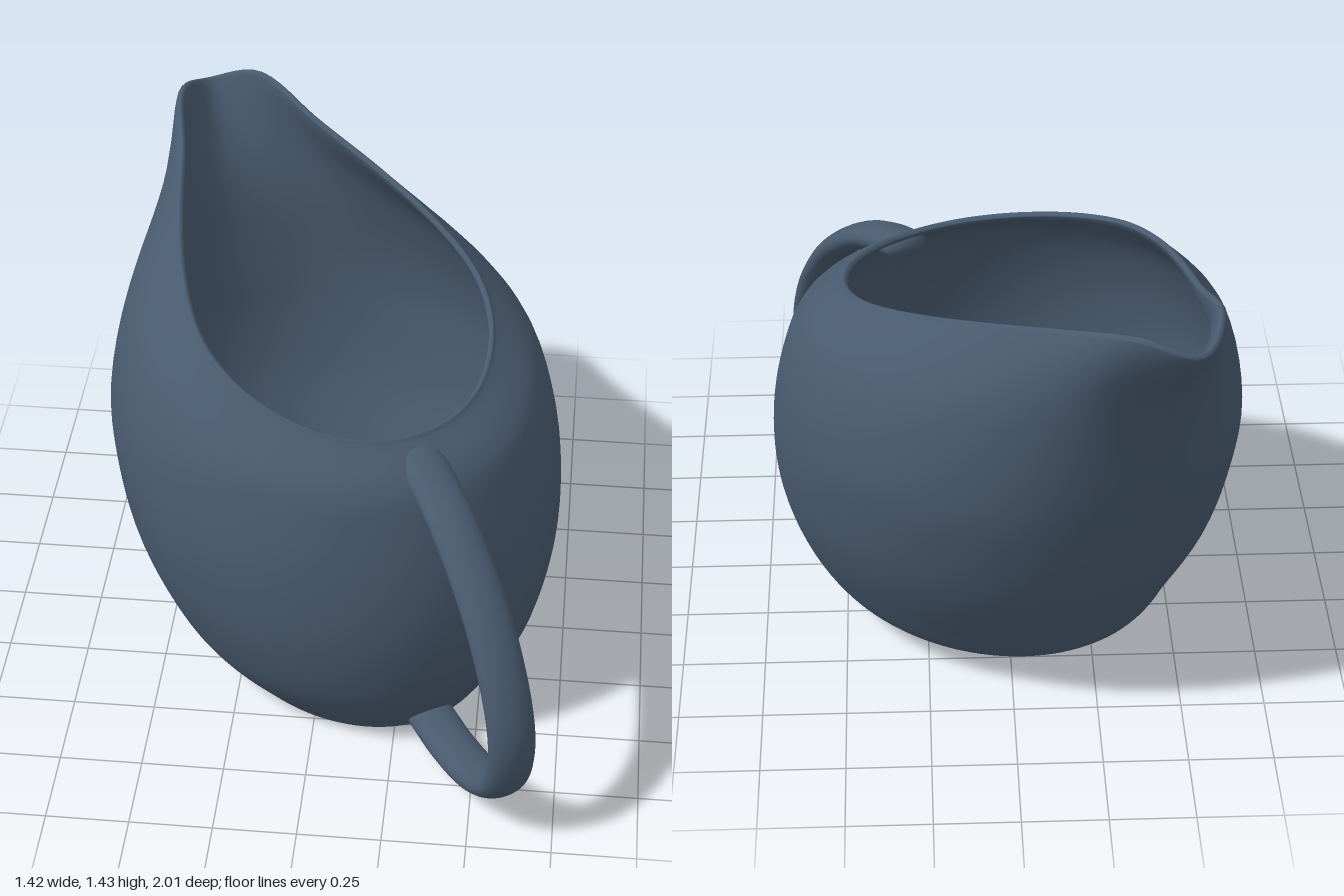
import * as THREE from 'three';

const SEG = 120;
const V = (x, y, z) => new THREE.Vector3(x, y, z);

// Horizontal oval sections: height, half width, half length, centre along the spout-handle axis
const RINGS = [
  [0.1, 0.515, 0.625, 0.01], [0.2, 0.574, 0.675, 0.005], [0.4, 0.648, 0.742, -0.036],
  [0.6, 0.678, 0.765, -0.076], [0.8, 0.672, 0.757, -0.121],
];

// Half of the teardrop rim, from the handle side to the spout tip: [half width, z]
const RIM = [
  [0, 0.44], [0.15, 0.41], [0.28, 0.32], [0.38, 0.18], [0.43, 0.03], [0.435, -0.12],
  [0.395, -0.31], [0.32, -0.52], [0.215, -0.76], [0.125, -0.985], [0, -1.08],
];
const rimPoint = ([x, z], i) => V(x, i === 10 ? 1.38 : 1.135 - 0.29 * z, z);
const rimCurve = new THREE.CatmullRomCurve3([
  ...RIM.map(rimPoint),
  ...RIM.slice(1, 10).reverse().map(([x, z]) => rimPoint([-x, z], 0)),
], true, 'catmullrom', 0.5);

// Skin a closed surface strip; column(phi, t) returns the points of one profile
function loft(column) {
  const positions = [], index = [];
  let rows = 0;
  for (let i = 0; i < SEG; i++) {
    const points = column((i / SEG) * Math.PI * 2, i / SEG);
    rows = points.length;
    points.forEach((p) => positions.push(p.x, p.y, p.z));
  }
  for (let i = 0; i < SEG; i++) {
    const a = i * rows, b = ((i + 1) % SEG) * rows;
    for (let j = 0; j < rows - 1; j++) {
      index.push(a + j, b + j, a + j + 1, b + j, b + j + 1, a + j + 1);
    }
  }
  const geometry = new THREE.BufferGeometry();
  geometry.setAttribute('position', new THREE.Float32BufferAttribute(positions, 3));
  geometry.setIndex(index);
  geometry.computeVertexNormals();
  return geometry;
}

// Point on an oval section, optionally inset
const oval = (phi, [y, w, l, c], inset = 0) =>
  V(Math.sin(phi) * (w - inset), y, c + Math.cos(phi) * (l - inset));

// Point on the slightly tilted base plane
function basePoint(phi, scale, lift) {
  const p = oval(phi, [0, 0.445 * scale, 0.568 * scale, 0.013]);
  p.y = 0.031 - 0.05 * p.z + lift;
  return p;
}

// Shoulder point between the widest section and the rim
const shoulder = (from, rim, side, rise) =>
  V(from.x + (rim.x - from.x) * side, from.y + (rim.y - from.y) * rise, from.z + (rim.z - from.z) * side);

// Wall profile: up the outside, over the rounded lip, down the inside
function wallColumn(phi, t) {
  const wall = 0.03;
  const inner = rimCurve.getPoint(t);
  const tangent = rimCurve.getTangent(t).setY(0).normalize();
  const normal = V(-tangent.z, 0, tangent.x);
  const outer = inner.clone().addScaledVector(normal, 0.026);
  const crest = inner.clone().addScaledVector(normal, 0.013).add(V(0, 0.012, 0));
  const out = RINGS.map((r) => oval(phi, r));
  const inn = RINGS.map((r) => oval(phi, r, wall));
  const profile = [
    basePoint(phi, 1, 0), ...out, shoulder(out[4], outer, 0.33, 0.6), outer, crest, inner,
    shoulder(inn[4], inner, 0.36, 0.58), ...inn.reverse(), basePoint(phi, 0.99, 0.035),
  ];
  return new THREE.CatmullRomCurve3(profile, false, 'centripetal').getPoints((profile.length - 1) * 5);
}

export function createModel() {
  const glaze = new THREE.MeshStandardMaterial({ color: 0x485a6e });
  glaze.name = 'slate blue glaze';
  const jug = new THREE.Group();
  jug.name = 'jug';
  const add = (name, geometry) => {
    const mesh = new THREE.Mesh(geometry, glaze);
    mesh.name = name;
    jug.add(mesh);
    return mesh;
  };

  add('body', loft(wallColumn));
  add('innerFloor', loft((phi) => [0.99, 0.5, 0].map((s) => basePoint(phi, s, 0.035))));
  add('footRing', loft((phi) => [[0.92, 0.012], [0.94, 0], [1, 0]].map(([s, h]) => basePoint(phi, s, h))));
  add('underside', loft((phi) => [0, 0.5, 0.92].map((s) => basePoint(phi, s, 0.012))));

  // Flattened loop handle with rounded ends
  const path = [
    [0.955, 0.49], [0.925, 0.6], [0.86, 0.75], [0.7, 0.957], [0.5, 1.095], [0.35, 1.133],
    [0.2, 1.095], [0.095, 0.957], [0.048, 0.76], [0.046, 0.59],
  ].map(([y, z]) => V(0, y, z));
  const radius = 0.043, flat = 1.7;
  const handle = new THREE.TubeGeometry(new THREE.CatmullRomCurve3(path), 80, radius, 24);
  handle.scale(flat, 1, 1);
  add('handle', handle).position.x = 0.012;
  for (const end of [path[0], path[path.length - 1]]) {
    const cap = new THREE.SphereGeometry(radius, 24, 16);
    cap.scale(flat, 1, 1);
    add('handleEnd', cap).position.set(0.012, end.y, end.z);
  }

  // Turn the spout towards the back right
  const angle = THREE.MathUtils.degToRad(29.5);
  jug.rotation.y = angle;
  jug.position.set(Math.cos(angle) * 0.058, 0, -Math.sin(angle) * 0.058);
  const model = new THREE.Group();
  model.name = 'pouringJug';
  model.add(jug);
  return model;
}
